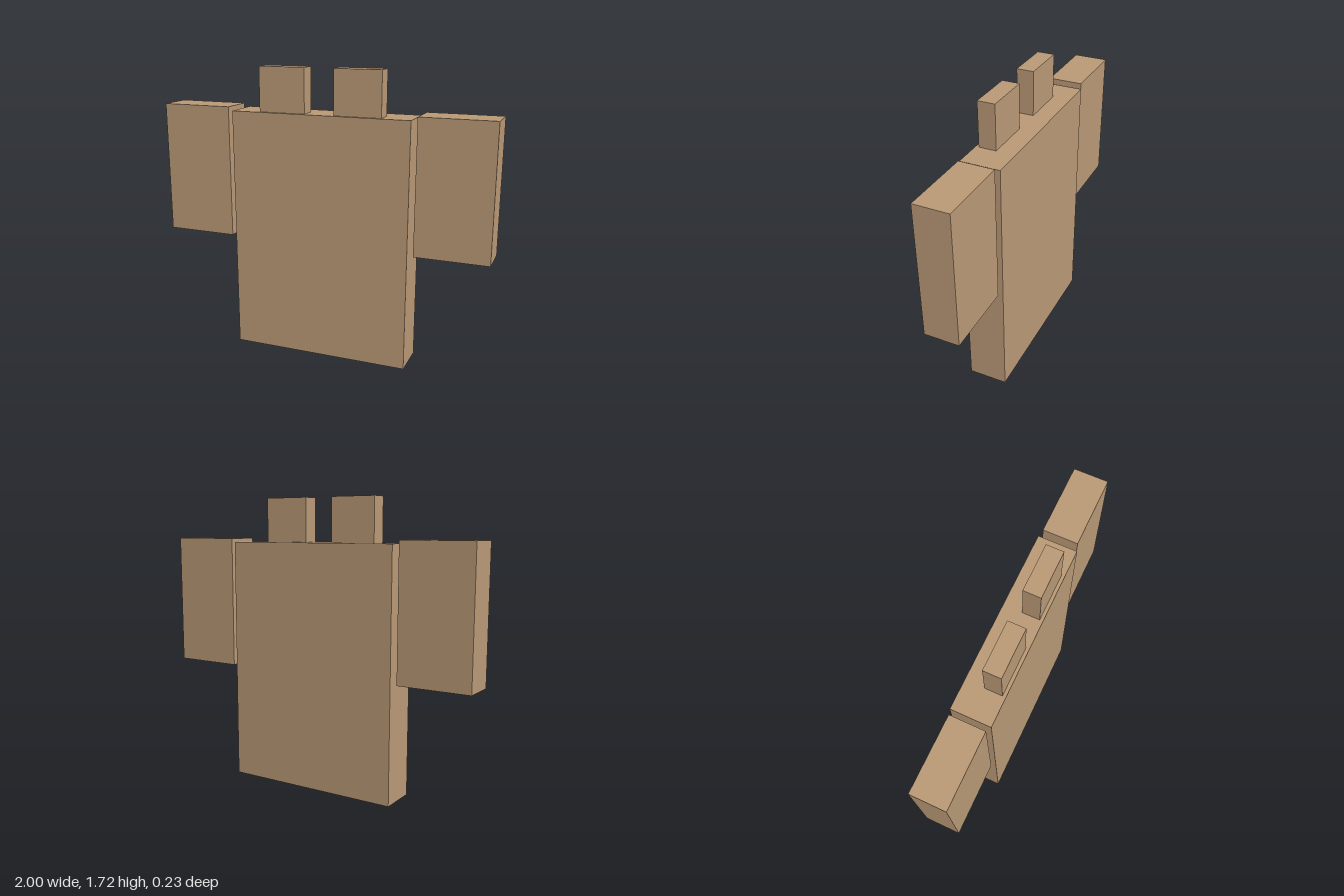
import * as THREE from 'three';

export function createModel() {
  const group = new THREE.Group();
  const material = new THREE.MeshStandardMaterial({ color: 0xb99976 });

  // Box given by its centre x, base height, centre z and size
  function addBox(name, x, base, z, width, height, depth) {
    const mesh = new THREE.Mesh(new THREE.BoxGeometry(width, height, depth), material);
    mesh.name = name;
    mesh.position.set(x, base + height / 2, z);
    group.add(mesh);
  }

  // Main slab
  addBox('body', 0, 0, 0, 1.075, 1.457, 0.228);

  // Side panels and top blocks, mirrored left and right
  for (const [side, s] of [['left', 1], ['right', -1]]) {
    addBox(side + 'SidePanel', s * 0.785, 0.692, 0, 0.43, 0.785, 0.203);
    addBox(side + 'TopBlock', s * 0.2275, 1.457, 0.045, 0.28, 0.26, 0.1);
  }

  return group;
}
